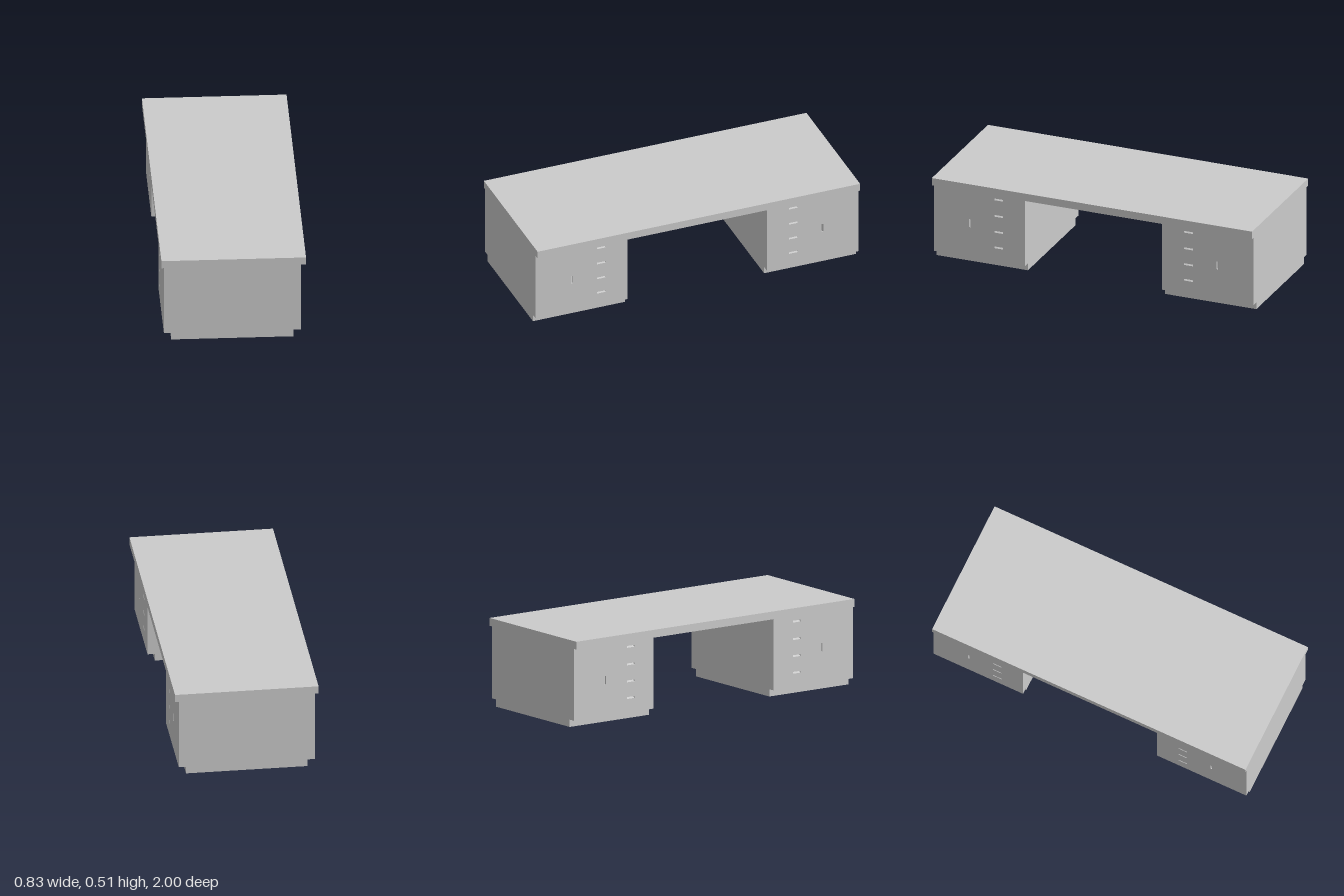
import * as THREE from 'three';

const material = new THREE.MeshStandardMaterial({ color: 0xcccccc, flatShading: true });

const WIDTH = 0.79, LENGTH = 0.57;        // pedestal size along x and z
const PLINTH_H = 0.043, BODY_TOP = 0.466, TOP_Y = 0.512;
const PANEL = 0.012;                      // thickness of the drawer fronts
const MID_Z = 0.715;                      // pedestal centre along the desk

// Finger pulls: z, y, length, vertical or not
const pulls = [0.43, 0.327, 0.227, 0.129].map(y => ({ z: 0.594, y, length: 0.054, vertical: false }));
pulls.push({ z: 0.776, y: 0.254, length: 0.05, vertical: true });
const PULL_H = 0.011;

function add(parent, name, geometry, x = 0, y = 0, z = 0) {
  const mesh = new THREE.Mesh(geometry, material);
  mesh.name = name;
  mesh.position.set(x, y, z);
  parent.add(mesh);
  return mesh;
}

function rectangle(target, x, y, w, h) {
  target.moveTo(x - w / 2, y - h / 2);
  target.lineTo(x + w / 2, y - h / 2);
  target.lineTo(x + w / 2, y + h / 2);
  target.lineTo(x - w / 2, y + h / 2);
  target.closePath();
  return target;
}

// Sloping floor of a pull: flush at its lower edge, deep at its upper edge
function pullFloor(length) {
  const geometry = new THREE.BoxGeometry(length, PULL_H, PANEL);
  const p = geometry.attributes.position;
  for (let i = 0; i < p.count; i++) {
    if (p.getY(i) > 0 && p.getZ(i) > 0) p.setZ(i, -PANEL / 2 + 0.0005);
  }
  geometry.computeVertexNormals();
  return geometry;
}

// Drawer front with recessed pulls; side is +1 for +x and -1 for -x
function drawerFront(side) {
  const group = new THREE.Group();
  group.name = 'drawerFront';
  const shape = rectangle(new THREE.Shape(), 0, (PLINTH_H + BODY_TOP) / 2, LENGTH, BODY_TOP - PLINTH_H);
  for (const { z, y, length, vertical } of pulls) {
    const u = -side * (z - MID_Z);
    shape.holes.push(rectangle(new THREE.Path(), u, y,
      vertical ? PULL_H : length, vertical ? length : PULL_H));
    const floor = add(group, vertical ? 'doorPull' : 'drawerPull', pullFloor(length), u, y, PANEL / 2);
    if (vertical) floor.rotation.z = -side * Math.PI / 2;
  }
  add(group, 'frontPanel', new THREE.ExtrudeGeometry(shape, { depth: PANEL, bevelEnabled: false }));
  group.rotation.y = side * Math.PI / 2;
  group.position.set(side * (WIDTH / 2 - PANEL), 0, MID_Z);
  return group;
}

// Cabinet on a recessed plinth, with drawers on both long sides
function pedestal() {
  const group = new THREE.Group();
  group.name = 'pedestal';
  add(group, 'cabinet', new THREE.BoxGeometry(WIDTH - 2 * PANEL, BODY_TOP - PLINTH_H, LENGTH),
    0, (BODY_TOP + PLINTH_H) / 2, MID_Z);
  add(group, 'plinth', new THREE.BoxGeometry(WIDTH - 0.084, PLINTH_H, LENGTH), 0, PLINTH_H / 2, MID_Z);
  group.add(drawerFront(1), drawerFront(-1));
  return group;
}

export function createModel() {
  const desk = new THREE.Group();
  desk.name = 'desk';

  add(desk, 'desktop', new THREE.BoxGeometry(0.834, TOP_Y - BODY_TOP, 2), 0, (TOP_Y + BODY_TOP) / 2, 0);

  const front = pedestal();
  front.position.x = -0.008;
  const back = pedestal();
  back.rotation.y = Math.PI;
  desk.add(front, back);
  return desk;
}
